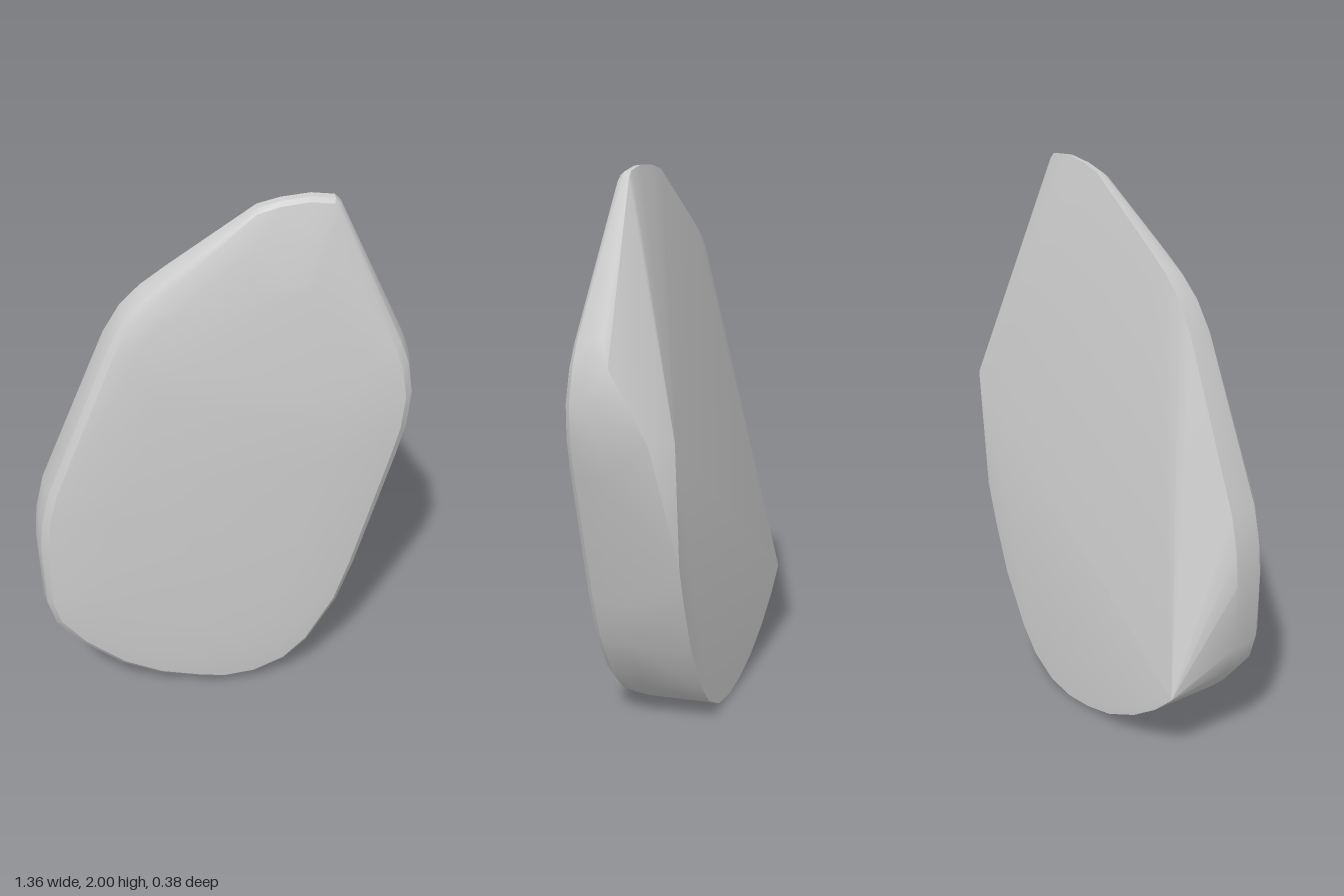
import * as THREE from 'three';
import { ConvexGeometry } from 'three/addons/geometries/ConvexGeometry.js';
import { toCreasedNormals } from 'three/addons/utils/BufferGeometryUtils.js';

// Widest outline of the slab (x, y), clockwise from the tip
const outline = [
  [0.12, 1.97], [0.2, 1.99], [0.3, 2], [0.38, 1.99], [0.4, 1.97], [0.63, 1.48], [0.66, 1.4],
  [0.68, 1.28], [0.67, 1.15], [0.64, 1.02], [0.5, 0.52], [0.44, 0.35], [0.33, 0.16],
  [0.24, 0.07], [0.12, 0.015], [0, 0], [-0.1, 0.015], [-0.25, 0.05], [-0.4, 0.12],
  [-0.55, 0.24], [-0.64, 0.35], [-0.67, 0.45], [-0.68, 0.7], [-0.67, 0.82], [-0.64, 0.95],
  [-0.4, 1.53], [-0.34, 1.63], [-0.27, 1.7], [-0.18, 1.765],
];

// Flat lower back facet, ending in a slanted ridge
const backFacet = [
  [0.575, 1.15], [0.535, 0.7], [0.49, 0.55], [0.42, 0.36], [0.31, 0.17], [0.23, 0.08],
  [0.12, 0.02], [0, 0.005], [-0.12, 0.02], [-0.25, 0.055], [-0.4, 0.13], [-0.52, 0.215], [-0.61, 0.3],
];

// The front falls away toward the tip
const fall = (y) => 0.105 * Math.pow(Math.max(0, (y - 0.9) / 1.1), 2.2);

// Outline moved toward the middle by a distance, at a given depth
function ring(inset, depth) {
  return outline.map(([x, y]) => {
    const dx = x - 0.02, dy = y - 1;
    const k = 1 - inset / Math.hypot(dx, dy);
    const px = 0.02 + dx * k, py = 1 + dy * k;
    return new THREE.Vector3(px, py, depth(py));
  });
}

export function createModel() {
  const points = [
    ...backFacet.map(([x, y]) => new THREE.Vector3(x, y, -0.193)),
    // corner of the right wall
    new THREE.Vector3(0.65, 1.15, -0.13),
    new THREE.Vector3(0.665, 1.4, 0),
    // side wall, rounded rim and gently domed front
    ...ring(0, () => 0.03),
    ...ring(0.004, (y) => 0.09 - fall(y) * 0.35),
    ...ring(0.018, (y) => 0.145 - fall(y) * 0.75),
    ...ring(0.045, (y) => 0.17 - fall(y)),
    ...ring(0.12, (y) => 0.179 - fall(y)),
    ...ring(0.3, (y) => 0.187 - fall(y)),
    new THREE.Vector3(0.05, 0.7, 0.192),
  ];
  const stone = new THREE.Mesh(
    toCreasedNormals(new ConvexGeometry(points), 0.45),
    new THREE.MeshStandardMaterial({ color: 0xcccccc }),
  );
  stone.name = 'stoneSlab';

  const group = new THREE.Group();
  group.name = 'rock';
  group.add(stone);
  return group;
}
